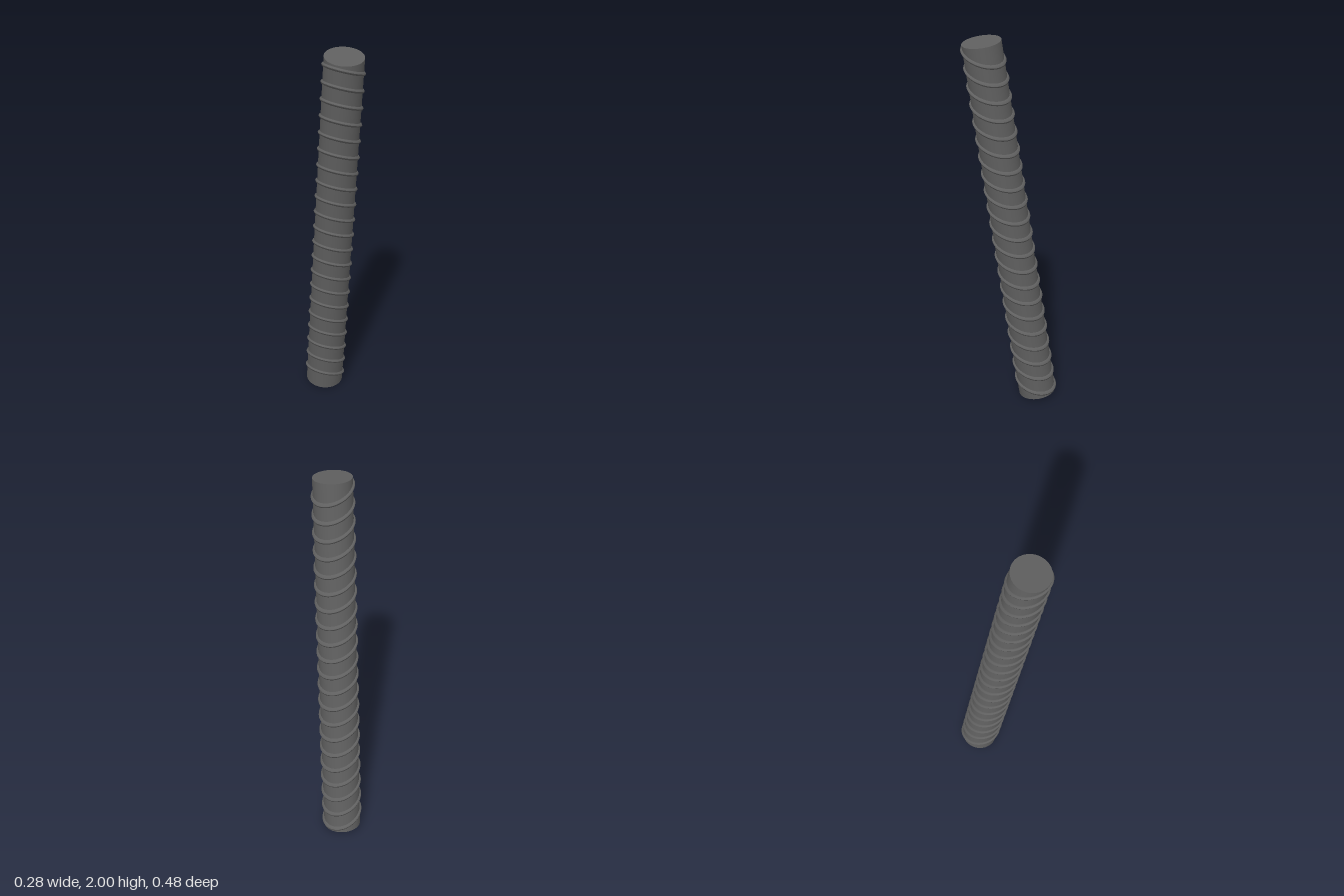
import * as THREE from 'three';

const LENGTH = 1.993;
const RADIUS = 0.097;
const RIB_COUNT = 21;

// Closed rib following a slanted cut around the bar
function ribGeometry() {
  const g = new THREE.TorusGeometry(RADIUS - 0.002, 0.0115, 8, 48);
  g.rotateX(Math.PI / 2);
  const p = g.attributes.position;
  for (let i = 0; i < p.count; i++) {
    p.setY(i, p.getY(i) - 0.4 * p.getX(i) + 0.22 * p.getZ(i));
  }
  g.computeVertexNormals();
  return g;
}

export function createModel() {
  const steel = new THREE.MeshStandardMaterial({ color: 0x606060 });
  steel.name = 'dark steel';

  const model = new THREE.Group();
  model.name = 'ribbedBar';

  // Leaning bar, built upright and then tilted
  const bar = new THREE.Group();
  bar.name = 'bar';
  const core = new THREE.Mesh(new THREE.CylinderGeometry(RADIUS, RADIUS, LENGTH, 48), steel);
  core.name = 'core';
  bar.add(core);

  // Evenly spaced slanted ribs
  const rib = ribGeometry();
  const span = LENGTH - 0.13;
  for (let i = 0; i < RIB_COUNT; i++) {
    const mesh = new THREE.Mesh(rib, steel);
    mesh.name = 'rib' + (i + 1);
    mesh.position.y = -span / 2 + (span * i) / (RIB_COUNT - 1);
    bar.add(mesh);
  }

  const axis = new THREE.Vector3(-0.07, 1.97, 0.28).normalize();
  bar.quaternion.setFromUnitVectors(new THREE.Vector3(0, 1, 0), axis);
  bar.position.y = 1;
  model.add(bar);
  return model;
}
